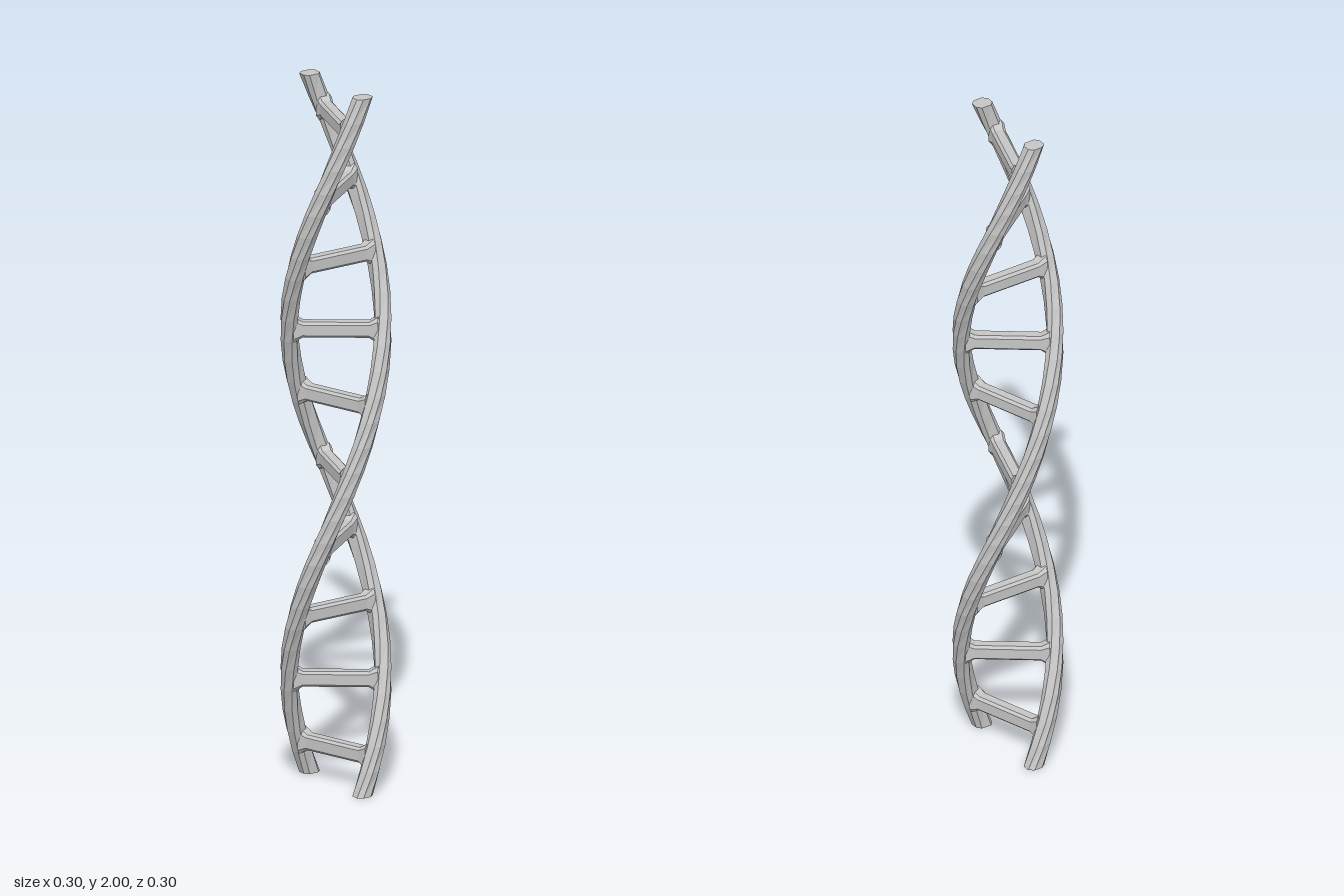
import * as THREE from 'three';

const TOP = 2, STRAND_STEPS = 30, RUNGS = 10;
const angleAt = (y) => Math.PI * (y - 1.1); // half a turn per unit of height

// Skin a list of equal-length rings (counter-clockwise seen from the far end) and cap both ends
function loft(rings) {
  const n = rings[0].length, index = [];
  for (let k = 0; k < rings.length - 1; k++) {
    for (let i = 0; i < n; i++) {
      const a = k * n + i, b = k * n + (i + 1) % n;
      index.push(a, b, b + n, a, b + n, a + n);
    }
  }
  const last = (rings.length - 1) * n;
  for (let i = 1; i < n - 1; i++) {
    index.push(0, i + 1, i, last, last + i, last + i + 1);
  }
  const geo = new THREE.BufferGeometry();
  geo.setAttribute('position', new THREE.Float32BufferAttribute(rings.flat(2), 3));
  geo.setIndex(index);
  const flat = geo.toNonIndexed();
  flat.computeVertexNormals();
  return flat;
}

// Bevelled strand section, [radius, sideways offset], swept up the helix
function strandGeometry() {
  const section = [
    [0.15, -0.012], [0.15, 0.012], [0.139, 0.026], [0.117, 0.026],
    [0.105, 0.015], [0.105, -0.015], [0.117, -0.026], [0.139, -0.026],
  ];
  const rings = [];
  for (let k = 0; k <= STRAND_STEPS; k++) {
    const y = TOP * k / STRAND_STEPS, s = Math.sin(angleAt(y)), c = Math.cos(angleAt(y));
    rings.push(section.map(([r, t]) => [r * s + t * c, y, r * c - t * s]));
  }
  return loft(rings);
}

// Bevelled bar along z that flares where it meets the strands
function rungGeometry() {
  const w = 0.019, h = 0.022, b = 0.007;
  const section = [
    [w, -h + b], [w, h - b], [w - b, h], [-w + b, h],
    [-w, h - b], [-w, -h + b], [-w + b, -h], [w - b, -h],
  ];
  const stations = [
    [-0.115, 1.15, 1.7], [-0.104, 1.1, 1.4], [-0.09, 1, 1],
    [0.09, 1, 1], [0.104, 1.1, 1.4], [0.115, 1.15, 1.7],
  ];
  return loft(stations.map(([z, sx, sy]) => section.map(([x, y]) => [x * sx, y * sy, z])));
}

export function createModel() {
  const model = new THREE.Group();
  model.name = 'doubleHelix';
  const grey = new THREE.MeshStandardMaterial({ color: 0xc6c6c6, flatShading: true });
  grey.name = 'lightGrey';

  // Two strands, half a turn apart
  const strandGeo = strandGeometry();
  for (let i = 0; i < 2; i++) {
    const strand = new THREE.Mesh(strandGeo, grey);
    strand.name = `strand${i + 1}`;
    strand.rotation.y = i * Math.PI;
    model.add(strand);
  }

  // Rungs turning with the strands
  const rungGeo = rungGeometry();
  for (let i = 0; i < RUNGS; i++) {
    const rung = new THREE.Mesh(rungGeo, grey);
    rung.name = `rung${i + 1}`;
    rung.position.y = 0.102 + 0.2 * i;
    rung.rotation.y = angleAt(rung.position.y);
    model.add(rung);
  }
  return model;
}
